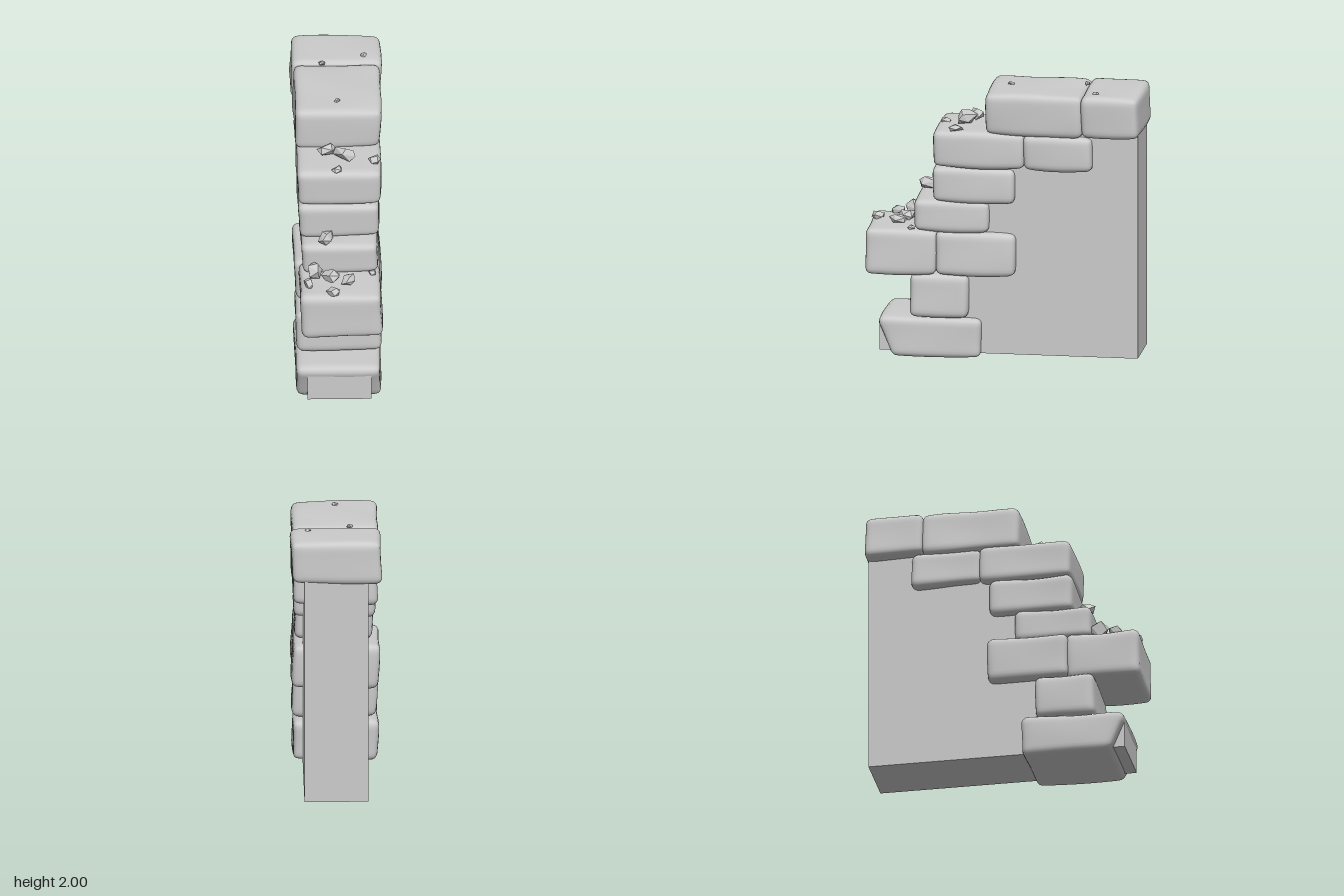
import * as THREE from 'three';
import { mergeVertices } from 'three/addons/utils/BufferGeometryUtils.js';
import { ConvexGeometry } from 'three/addons/geometries/ConvexGeometry.js';

const stone = new THREE.MeshStandardMaterial({ color: 0xcccccc, roughness: 0.9 });
const rubble = new THREE.MeshStandardMaterial({ color: 0xcccccc, roughness: 0.9, flatShading: true });

function seeded(seed) {
  let s = seed * 7919 + 17;
  return () => (s = (s * 16807) % 2147483647) / 2147483647;
}

// Rounded, gently worn block filling the given limits
function block([x0, x1], [y0, y1], [z0, z1], seed, undercut = 0) {
  const half = new THREE.Vector3(x1 - x0, y1 - y0, z1 - z0).multiplyScalar(0.5);
  const r = 0.052;
  let geo = new THREE.BoxGeometry(half.x * 2, half.y * 2, half.z * 2, 22, 14, 22);
  geo.deleteAttribute('uv');
  geo.deleteAttribute('normal');
  geo = mergeVertices(geo, 1e-4);
  const rnd = seeded(seed);
  rnd();
  const ph = Array.from({ length: 9 }, () => rnd() * 6.28);
  const inner = half.clone().subScalar(r);
  const pos = geo.attributes.position;
  const p = new THREE.Vector3(), q = new THREE.Vector3(), d = new THREE.Vector3();
  for (let i = 0; i < pos.count; i++) {
    p.fromBufferAttribute(pos, i);
    q.copy(p).clamp(inner.clone().negate(), inner);
    d.copy(p).sub(q).normalize();
    p.copy(q).addScaledVector(d, r);
    // worn dents: only ever pushed inward, deeper near the edges
    const edge = [0, 1, 2].reduce((n, k) => n + Math.pow(Math.abs(p.getComponent(k)) / half.getComponent(k), 6), 0) - 1;
    const wave = Math.sin(p.x * 9 + ph[0] + 2 * Math.sin(p.z * 5 + ph[1])) +
      Math.sin(p.y * 13 + ph[2] + p.z * 7) + Math.sin(p.z * 11 + ph[3] - p.x * 6);
    p.addScaledVector(d, -0.0035 * (wave + 2) * (0.6 + Math.max(0, edge)));
    // slight skew so no two blocks match
    p.x += 0.008 * Math.sin(p.y * 8 + ph[4]);
    p.z += 0.008 * Math.sin(p.y * 9 + ph[5]) * (1 - Math.abs(p.z) / half.z);
    if (undercut && p.z > 0) {
      const low = THREE.MathUtils.clamp((0.09 - p.y) / 0.23, 0, 1);
      p.z -= undercut * low * p.z / half.z;
    }
    pos.setXYZ(i, p.x, p.y, p.z);
  }
  geo.computeVertexNormals();
  const mesh = new THREE.Mesh(geo, stone);
  mesh.position.set((x0 + x1) / 2, (y0 + y1) / 2, (z0 + z1) / 2);
  return mesh;
}

// Angular stone chip: hull of scattered points
function chip(x, y, z, sx, sy, sz, turn, seed) {
  const rnd = seeded(seed + 40);
  rnd();
  const pts = [];
  for (let i = 0; i < 10; i++) {
    const h = 1 - (2 * i + 1) / 10, a = i * 2.4 + rnd() * 0.9, w = Math.sqrt(1 - h * h);
    pts.push(new THREE.Vector3(Math.cos(a) * w * sx, h * sy, Math.sin(a) * w * sz));
  }
  const mesh = new THREE.Mesh(new ConvexGeometry(pts), rubble);
  mesh.position.set(x, y, z);
  mesh.rotation.y = turn;
  return mesh;
}

export function createModel() {
  const wall = new THREE.Group();
  wall.name = 'brokenWall';

  // Plain wall core with a stepped front, hidden inside the blocks
  const outline = [[-0.98, 0.04], [0.89, 0.04], [0.89, 0.23], [0.45, 0.23], [0.45, 0.75], [0.38, 0.75],
    [0.38, 1.3], [0.3, 1.3], [0.3, 1.58], [0, 1.58], [0, 1.72], [-0.98, 1.72]];
  const shape = new THREE.Shape(outline.map(([z, y]) => new THREE.Vector2(-z, y)));
  const coreGeo = new THREE.ExtrudeGeometry(shape, { depth: 0.46, bevelEnabled: false });
  coreGeo.translate(0, 0, -0.23).rotateY(Math.PI / 2);
  const core = new THREE.Mesh(coreGeo, stone);
  core.name = 'wallCore';
  wall.add(core);

  // Courses of blocks: name, x range, y range, z range, undercut
  const blocks = [
    ['baseBlock', [-0.31, 0.31], [0, 0.305], [0.145, 0.9], 0.1],
    ['secondBlock', [-0.31, 0.31], [0.295, 0.625], [0.24, 0.68]],
    ['ledgeBlockFront', [-0.28, 0.31], [0.6, 0.95], [0.465, 1.0]],
    ['ledgeBlockBack', [-0.32, 0.31], [0.61, 0.945], [-0.105, 0.49]],
    ['fourthBlock', [-0.275, 0.285], [0.925, 1.17], [0.09, 0.65]],
    ['fifthBlock', [-0.295, 0.295], [1.145, 1.42], [-0.095, 0.515]],
    ['sixthBlockFront', [-0.305, 0.31], [1.405, 1.69], [-0.17, 0.505]],
    ['sixthBlockBack', [-0.305, 0.305], [1.405, 1.675], [-0.66, -0.145]],
    ['capBlockFront', [-0.315, 0.315], [1.655, 1.98], [-0.585, 0.13]],
    ['capBlockBack', [-0.33, 0.325], [1.66, 1.98], [-1.0, -0.565]],
  ];
  blocks.forEach(([name, x, y, z, undercut], i) => {
    const mesh = block(x, y, z, i + 1, undercut);
    mesh.name = name;
    wall.add(mesh);
  });

  // Loose rubble: centre, half sizes, turn
  const chips = [
    [-0.08, 1.73, 0.23, 0.075, 0.05, 0.06, 0.4],
    [0.04, 1.735, 0.29, 0.1, 0.06, 0.055, -0.7],
    [0.26, 1.705, 0.33, 0.045, 0.03, 0.065, 0.2],
    [-0.01, 1.69, 0.445, 0.045, 0.03, 0.045, 0.5],
    [-0.09, 1.205, 0.585, 0.055, 0.05, 0.08, -0.6],
    [-0.18, 1.0, 0.7, 0.065, 0.07, 0.07, 0.1],
    [-0.06, 0.97, 0.73, 0.075, 0.045, 0.07, 0.8],
    [0.065, 0.97, 0.78, 0.05, 0.035, 0.08, -0.5],
    [-0.22, 0.965, 0.82, 0.04, 0.04, 0.055, 0.3],
    [-0.045, 0.965, 0.94, 0.06, 0.035, 0.05, 0.6],
    [0.24, 0.955, 0.66, 0.035, 0.02, 0.03, 0.2],
    [-0.1, 1.978, -0.565, 0.026, 0.018, 0.024, 0.3],
    [0, 1.982, -0.03, 0.028, 0.018, 0.022, 0.9],
    [0.2, 1.978, -0.67, 0.026, 0.018, 0.026, 1.4],
  ];
  const debris = new THREE.Group();
  debris.name = 'looseRubble';
  chips.forEach((c, i) => {
    const mesh = chip(...c, i);
    mesh.name = 'stoneChip' + (i + 1);
    debris.add(mesh);
  });
  wall.add(debris);
  return wall;
}
